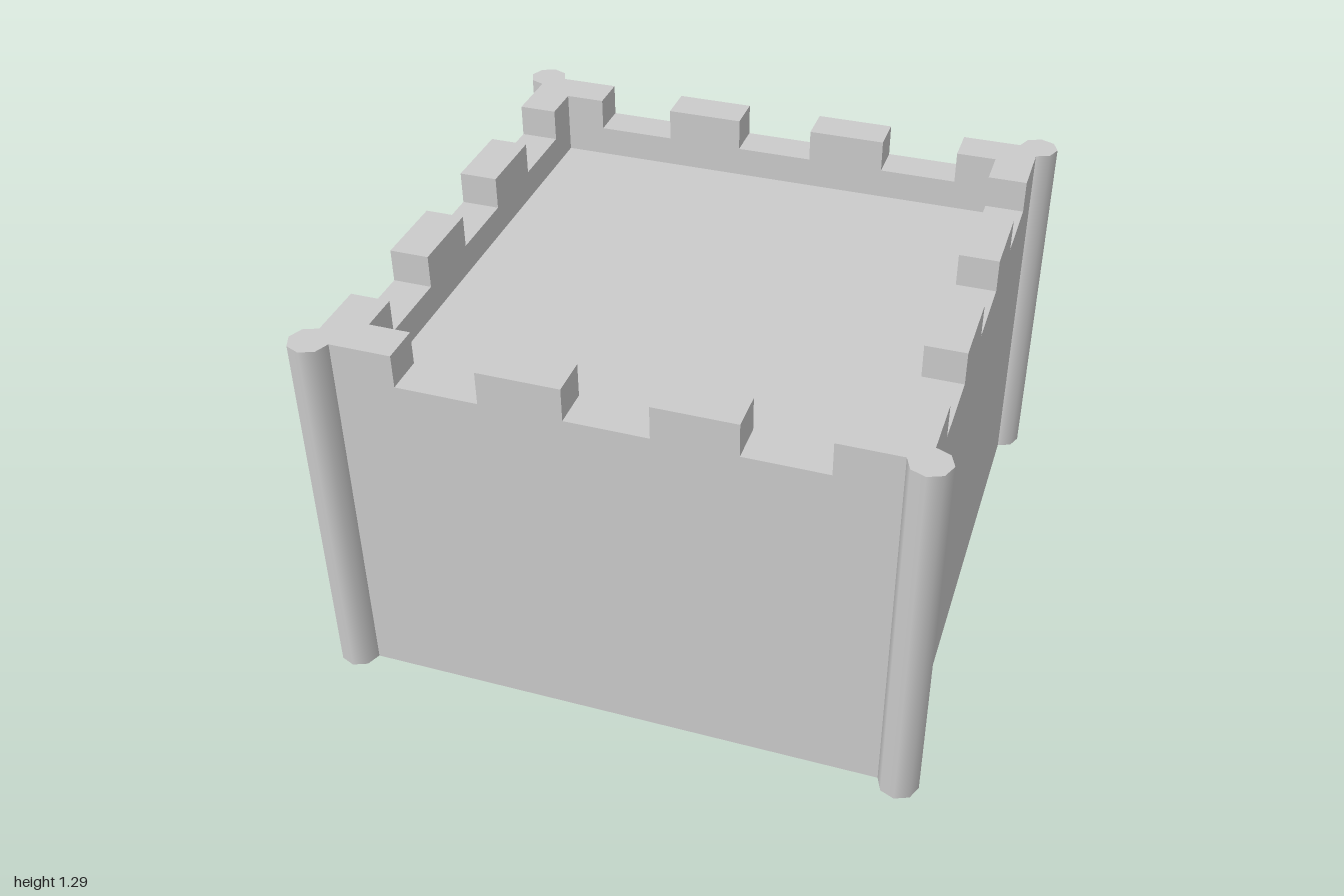
import * as THREE from 'three';

const OUT = 0.934, INN = 0.803;           // outer and inner faces of the walls
const FLOOR = 1.07, WALL = 1.175, TOP = 1.287;
const UNIT = OUT * 2 / 7;                 // width of a merlon or a gap
const THICK = OUT - INN;

const material = new THREE.MeshStandardMaterial({ color: 0xcccccc });

function add(parent, name, geometry, x = 0, y = 0, z = 0) {
  const mesh = new THREE.Mesh(geometry, material);
  mesh.name = name;
  mesh.position.set(x, y, z);
  parent.add(mesh);
  return mesh;
}

const outline = (pts) => pts.map(([x, y]) => new THREE.Vector2(x, y));
const square = (r) => outline([[-r, -r], [r, -r], [r, r], [-r, r]]);

// Extrude a plan shape upward from y = 0
function slab(shape, height) {
  return new THREE.ExtrudeGeometry(shape, { depth: height, bevelEnabled: false }).rotateX(-Math.PI / 2);
}

export function createModel() {
  const model = new THREE.Group();
  model.name = 'castleKeep';

  // Solid body up to the roof floor
  add(model, 'body', new THREE.BoxGeometry(OUT * 2, FLOOR, OUT * 2), 0, FLOOR / 2, 0);

  // Continuous parapet around the roof
  const ring = new THREE.Shape(square(OUT));
  ring.holes.push(new THREE.Path(square(INN)));
  add(model, 'parapet', slab(ring, WALL - FLOOR), 0, FLOOR, 0);

  // L-shaped corner merlon, plain merlon and corner column
  const e = OUT - UNIT;
  const cornerShape = new THREE.Shape(outline([[e, INN], [INN, INN], [INN, e], [OUT, e], [OUT, OUT], [e, OUT]]));
  const cornerGeo = slab(cornerShape, TOP - WALL);
  const merlonGeo = new THREE.BoxGeometry(UNIT, TOP - WALL, THICK);
  const columnGeo = new THREE.CylinderGeometry(0.066, 0.066, TOP, 8);

  // One side and one corner, repeated in quarter turns
  for (let i = 0; i < 4; i++) {
    const side = new THREE.Group();
    side.name = 'side' + (i + 1);
    side.rotation.y = i * Math.PI / 2;
    for (const s of [-1, 1]) {
      add(side, 'merlon', merlonGeo, s * UNIT, (WALL + TOP) / 2, (OUT + INN) / 2);
    }
    add(side, 'cornerMerlon', cornerGeo, 0, WALL, 0);
    add(side, 'cornerColumn', columnGeo, OUT, TOP / 2, OUT);
    model.add(side);
  }
  return model;
}
